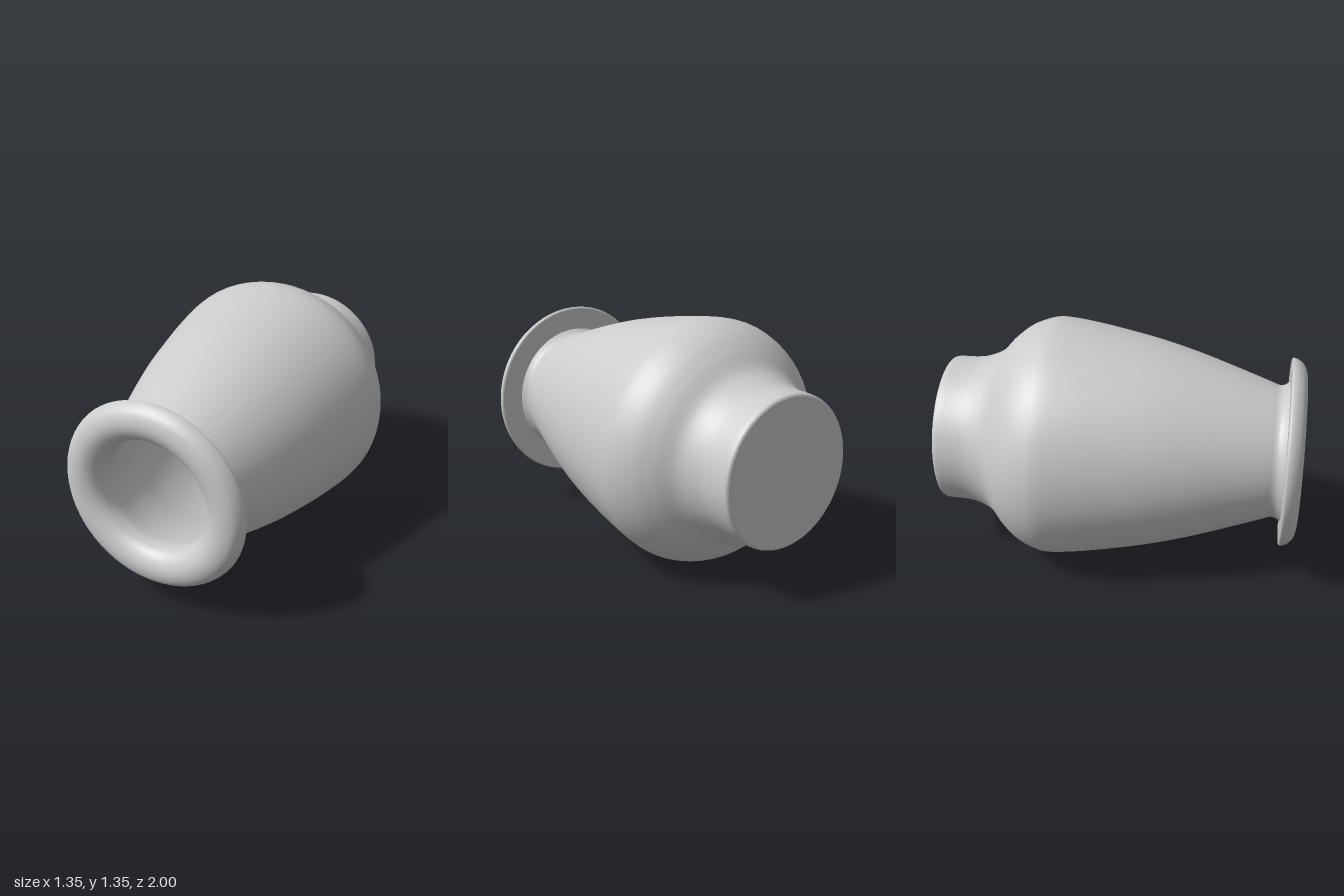
import * as THREE from 'three';

const SEGMENTS = 64;
const AXIS_HEIGHT = 0.673;

// Points are [radius, position along the axis]; the axis runs from foot (-1) to mouth (+1).
const toVectors = (pairs) => pairs.map(([r, z]) => new THREE.Vector2(r, z));
const smooth = (pairs, n) => new THREE.SplineCurve(toVectors(pairs)).getPoints(n);

export function createModel() {
  const group = new THREE.Group();
  group.name = 'vase';
  const material = new THREE.MeshStandardMaterial({ color: 0xcccccc, side: THREE.DoubleSide });

  function turned(name, points) {
    const geometry = new THREE.LatheGeometry(points, SEGMENTS);
    geometry.rotateX(Math.PI / 2);
    geometry.translate(0, AXIS_HEIGHT, 0);
    const mesh = new THREE.Mesh(geometry, material);
    mesh.name = name;
    group.add(mesh);
  }

  // Flat underside of the foot
  turned('footBase', toVectors([[0, -1], [0.395, -1]]));

  // Outer wall: foot, shoulder, long taper and neck
  turned('body', smooth([
    [0.395, -1], [0.41, -0.98], [0.413, -0.88], [0.425, -0.8], [0.47, -0.7],
    [0.555, -0.62], [0.62, -0.54], [0.66, -0.45], [0.674, -0.36], [0.656, -0.2],
    [0.62, 0], [0.577, 0.2], [0.522, 0.4], [0.457, 0.6], [0.388, 0.8],
    [0.37, 0.85], [0.372, 0.88], [0.39, 0.91],
  ], 90));

  // Flat back of the lip
  turned('lipBack', toVectors([[0.385, 0.91], [0.515, 0.91]]));

  // Rounded front of the lip, rolling into the mouth
  turned('lip', smooth([
    [0.515, 0.91], [0.525, 0.92], [0.515, 0.95], [0.485, 0.983], [0.44, 0.999],
    [0.395, 0.997], [0.35, 0.975], [0.321, 0.94], [0.312, 0.9],
  ], 32));

  // Hollow interior following the outer wall
  turned('innerWall', smooth([
    [0.312, 0.9], [0.318, 0.84], [0.385, 0.6], [0.45, 0.4], [0.505, 0.2],
    [0.55, 0], [0.585, -0.2], [0.6, -0.36], [0.58, -0.47], [0.53, -0.56],
    [0.45, -0.64], [0.37, -0.72], [0.33, -0.8], [0.32, -0.92],
  ], 60));

  // Floor inside the vase
  turned('innerFloor', toVectors([[0.32, -0.92], [0, -0.92]]));

  return group;
}
